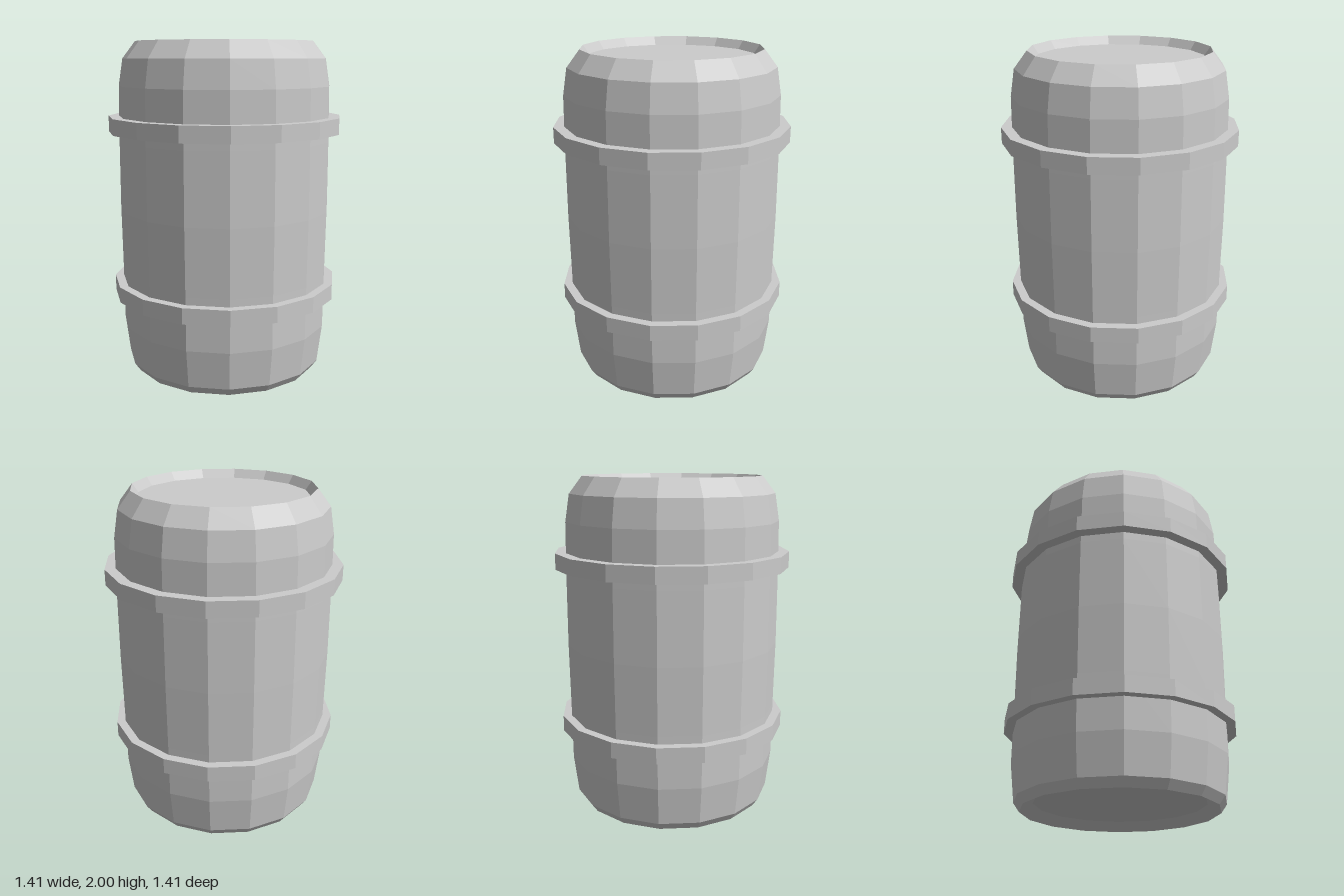
import * as THREE from 'three';

const SIDES = 16;

export function createModel() {
  const group = new THREE.Group();
  const material = new THREE.MeshStandardMaterial({ color: 0xcccccc, flatShading: true });

  // Revolve a [radius, height] profile, listed from the bottom up, into a faceted part
  const turn = (name, profile) => {
    const points = profile.map(([r, y]) => new THREE.Vector2(r, y));
    const mesh = new THREE.Mesh(new THREE.LatheGeometry(points, SIDES), material);
    mesh.name = name;
    group.add(mesh);
  };

  // Bulging body with a recessed base and a recessed lid
  turn('barrelBody', [
    [0, 0.05], [0.5, 0.05], [0.575, 0],
    [0.61, 0.05], [0.638, 0.28], [0.64, 0.6], [0.645, 1],
    [0.643, 1.42], [0.638, 1.74], [0.612, 1.9],
    [0.535, 2], [0.5, 1.95], [0, 1.95],
  ]);

  // Flat hoops around the body
  const hoop = (name, radius, y0, y1) =>
    turn(name, [[0.6, y0], [radius, y0], [radius, y1], [0.6, y1]]);
  hoop('lowerHoop', 0.692, 0.46, 0.555);
  hoop('upperHoop', 0.705, 1.465, 1.56);

  return group;
}
